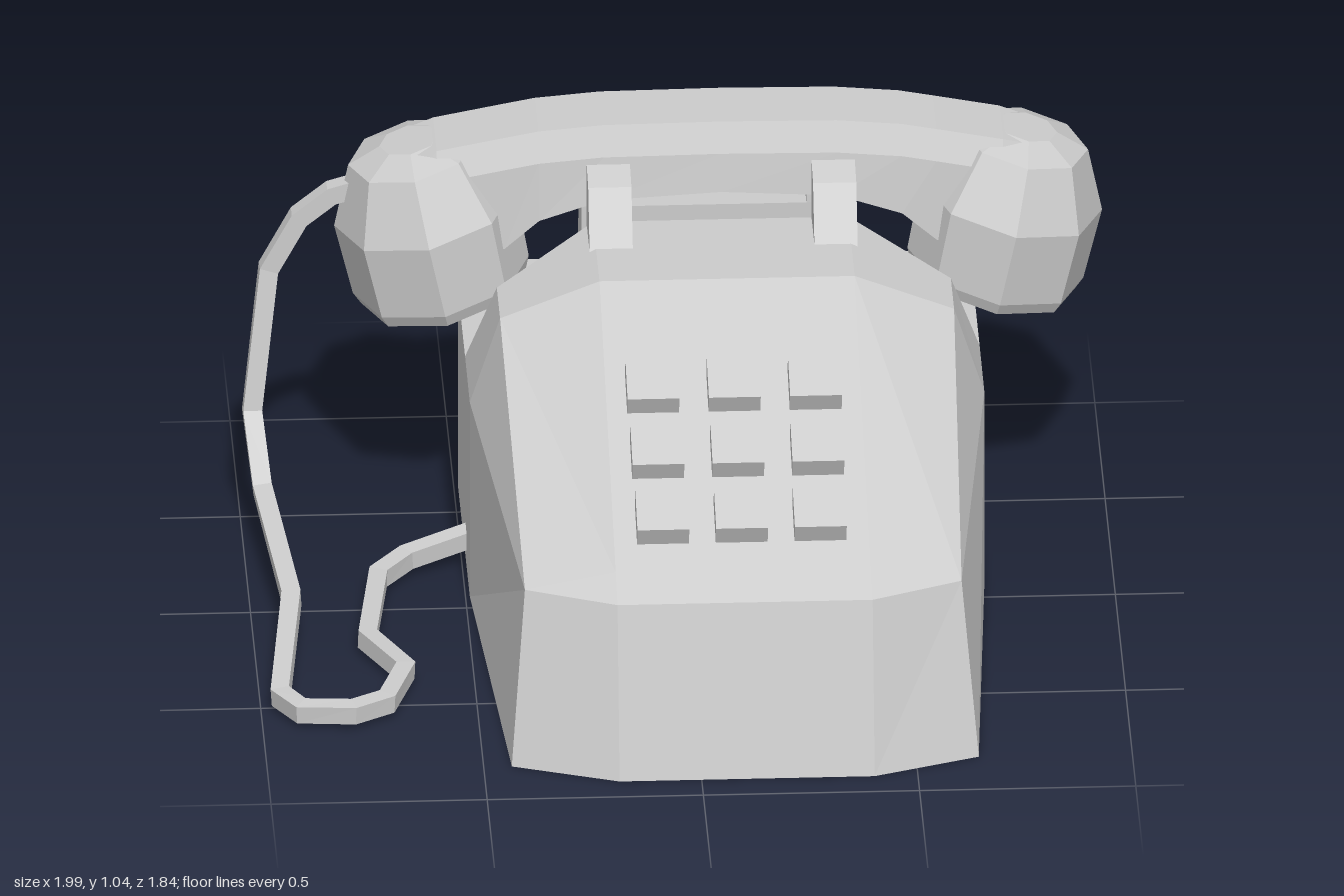
import * as THREE from 'three';

const CX = 0.105; // centre line of the body and handset
const mat = new THREE.MeshStandardMaterial({ color: 0xcccccc, flatShading: true, side: THREE.DoubleSide });

function add(parent, name, geometry) {
  const m = new THREE.Mesh(geometry, mat);
  m.name = name;
  parent.add(m);
  return m;
}

// Skin a series of closed rings of [x, y, z], with both ends capped
function loft(rings) {
  const pos = [];
  const tri = (a, b, c) => pos.push(...a, ...b, ...c);
  const n = rings[0].length;
  for (let i = 0; i < rings.length - 1; i++) {
    for (let j = 0; j < n; j++) {
      const k = (j + 1) % n;
      const a = rings[i][j], b = rings[i][k], c = rings[i + 1][k], d = rings[i + 1][j];
      tri(a, d, c);
      tri(a, c, b);
    }
  }
  const first = rings[0], last = rings[rings.length - 1];
  for (let j = 1; j < n - 1; j++) {
    tri(first[0], first[j], first[j + 1]);
    tri(last[0], last[j + 1], last[j]);
  }
  const g = new THREE.BufferGeometry();
  g.setAttribute('position', new THREE.Float32BufferAttribute(pos, 3));
  g.computeVertexNormals();
  return g;
}

// Extrude a side profile of [z, y] points from x0 to x1
function prism(profile, x0, x1) {
  const shape = new THREE.Shape(profile.map(([z, y]) => new THREE.Vector2(z, y)));
  const g = new THREE.ExtrudeGeometry(shape, { depth: x1 - x0, bevelEnabled: false });
  return g.rotateY(-Math.PI / 2).translate(x1, 0, 0);
}

// Housing: half sections (base, rim, shoulder, crown) from front to back
function bodyGeometry() {
  const halves = [
    [[0.295, 0, 0.92], [0.295, 0.405, 0.82], [0.295, 0.405, 0.82], [0.295, 0.405, 0.82]],
    [[0.54, 0, 0.83], [0.505, 0.405, 0.73], [0.505, 0.405, 0.73], [0.295, 0.445, 0.73]],
    [[0.595, 0, -0.06], [0.595, 0.5, -0.06], [0.525, 0.715, -0.06], [0.295, 0.805, -0.06]],
    [[0.595, 0, -0.29], [0.595, 0.505, -0.29], [0.525, 0.715, -0.22], [0.295, 0.805, -0.37]],
    [[0.595, 0, -0.29], [0.595, 0.505, -0.29], [0.525, 0.505, -0.29], [0.295, 0.505, -0.38]],
    [[0.595, 0, -0.63], [0.595, 0.505, -0.63], [0.525, 0.505, -0.63], [0.295, 0.505, -0.63]],
    [[0.53, 0, -0.8], [0.53, 0.5, -0.8], [0.465, 0.5, -0.8], [0.25, 0.5, -0.8]],
    [[0.465, 0, -0.89], [0.465, 0.44, -0.89], [0.4, 0.44, -0.89], [0.25, 0.44, -0.89]],
    [[0.25, 0, -0.92], [0.25, 0.42, -0.92], [0.25, 0.42, -0.92], [0.25, 0.42, -0.92]],
  ];
  return loft(halves.map((h) => [
    ...h.map(([x, y, z]) => [CX + x, y, z]),
    ...h.slice().reverse().map(([x, y, z]) => [CX - x, y, z]),
  ]));
}

// Handset grip: hexagonal sections along an arch
function gripGeometry() {
  // offset from centre, top height, bottom height, width factor
  const half = [
    [0.72, 0.955, 0.75, 0.85], [0.655, 0.975, 0.72, 1], [0.5, 1.005, 0.74, 1],
    [0.42, 1.02, 0.81, 1], [0.27, 1.033, 0.86, 1], [0.001, 1.036, 0.875, 1],
  ];
  const stations = [...half, ...half.slice().reverse().map(([x, ...r]) => [-x, ...r])];
  return loft(stations.map(([x, top, low, w]) => {
    const side = [[low, 0.13], [top - 0.07, 0.115], [top, 0.088]];
    return [
      ...side.map(([y, z]) => [CX + x, y, -0.5 - z * w]),
      ...side.slice().reverse().map(([y, z]) => [CX + x, y, -0.5 + z * w]),
    ];
  }));
}

// Cord: square section carried along a bent path
function cordGeometry() {
  const path = [
    [-0.72, 0.85, -0.5], [-0.79, 0.83, -0.5], [-0.865, 0.77, -0.5], [-0.935, 0.64, -0.5],
    [-0.975, 0.3, -0.45], [-0.955, 0.14, -0.36], [-0.91, 0.085, 0.1], [-0.955, 0.036, 0.51],
    [-0.91, 0.036, 0.59], [-0.79, 0.036, 0.6], [-0.71, 0.036, 0.55], [-0.66, 0.036, 0.39],
    [-0.74, 0.036, 0.22], [-0.7, 0.036, -0.1], [-0.63, 0.04, -0.19], [-0.45, 0.07, -0.26],
  ].map((p) => new THREE.Vector3(...p));
  const normal = new THREE.Vector3(0, 0, 1);
  const s = 0.022;
  return loft(path.map((p, i) => {
    const before = path[Math.max(i - 1, 0)], after = path[Math.min(i + 1, path.length - 1)];
    const t = p.clone().sub(before).normalize().add(after.clone().sub(p).normalize()).normalize();
    normal.addScaledVector(t, -normal.dot(t)).normalize();
    const bi = t.clone().cross(normal);
    return [[s, s], [s, -s], [-s, -s], [-s, s]].map(([a, b]) =>
      p.clone().addScaledVector(normal, a).addScaledVector(bi, b).toArray());
  }));
}

export function createModel() {
  const model = new THREE.Group();
  model.name = 'deskTelephone';

  add(model, 'body', bodyGeometry());

  // Push buttons standing on the sloped face
  const keypad = new THREE.Group();
  keypad.name = 'keypad';
  model.add(keypad);
  const slope = Math.atan2(0.4, 0.88);
  for (let row = 0; row < 3; row++) {
    for (let col = -1; col <= 1; col++) {
      const z = 0.245 + row * 0.178;
      const b = add(keypad, 'button', new THREE.BoxGeometry(0.12, 0.1, 0.12));
      b.position.set(CX + col * (0.188 - row * 0.003), 0.405 + (0.82 - z) * 0.4545, z);
      b.rotation.x = slope;
    }
  }

  // Cradle: rear wall with a pair of prongs behind and in front of the grip
  const cradle = new THREE.Group();
  cradle.name = 'cradle';
  model.add(cradle);
  add(cradle, 'rearWall', prism([[-0.62, 0.48], [-0.62, 0.72], [-0.762, 0.72], [-0.805, 0.48]], CX - 0.31, CX + 0.31));
  for (const s of [-1, 1]) {
    const x = CX + s * 0.26;
    add(cradle, 'rearProng', prism([[-0.62, 0.72], [-0.63, 0.952], [-0.69, 0.952], [-0.762, 0.72]], x - 0.05, x + 0.05));
    add(cradle, 'frontProng', prism([[-0.22, 0.79], [-0.295, 0.93], [-0.37, 0.952], [-0.375, 0.79]], x - 0.05, x + 0.05));
  }

  // Handset: grip with two faceted, outward-tilted end cups
  const handset = new THREE.Group();
  handset.name = 'handset';
  model.add(handset);
  add(handset, 'grip', gripGeometry());
  const cup = [
    [0, 0.04], [0.13, 0.04], [0.15, 0], [0.195, 0], [0.208, 0.03], [0.214, 0.21], [0.15, 0.355], [0.07, 0.385], [0, 0.385],
  ].map(([r, y]) => new THREE.Vector2(r, y));
  for (const s of [-1, 1]) {
    const m = add(handset, s > 0 ? 'leftCup' : 'rightCup', new THREE.LatheGeometry(cup, 8));
    m.position.set(CX + s * 0.635, 0.585, -0.5);
    m.rotation.z = -s * 0.21;
    m.scale.z = 1.08;
  }

  add(model, 'cord', cordGeometry());
  return model;
}
